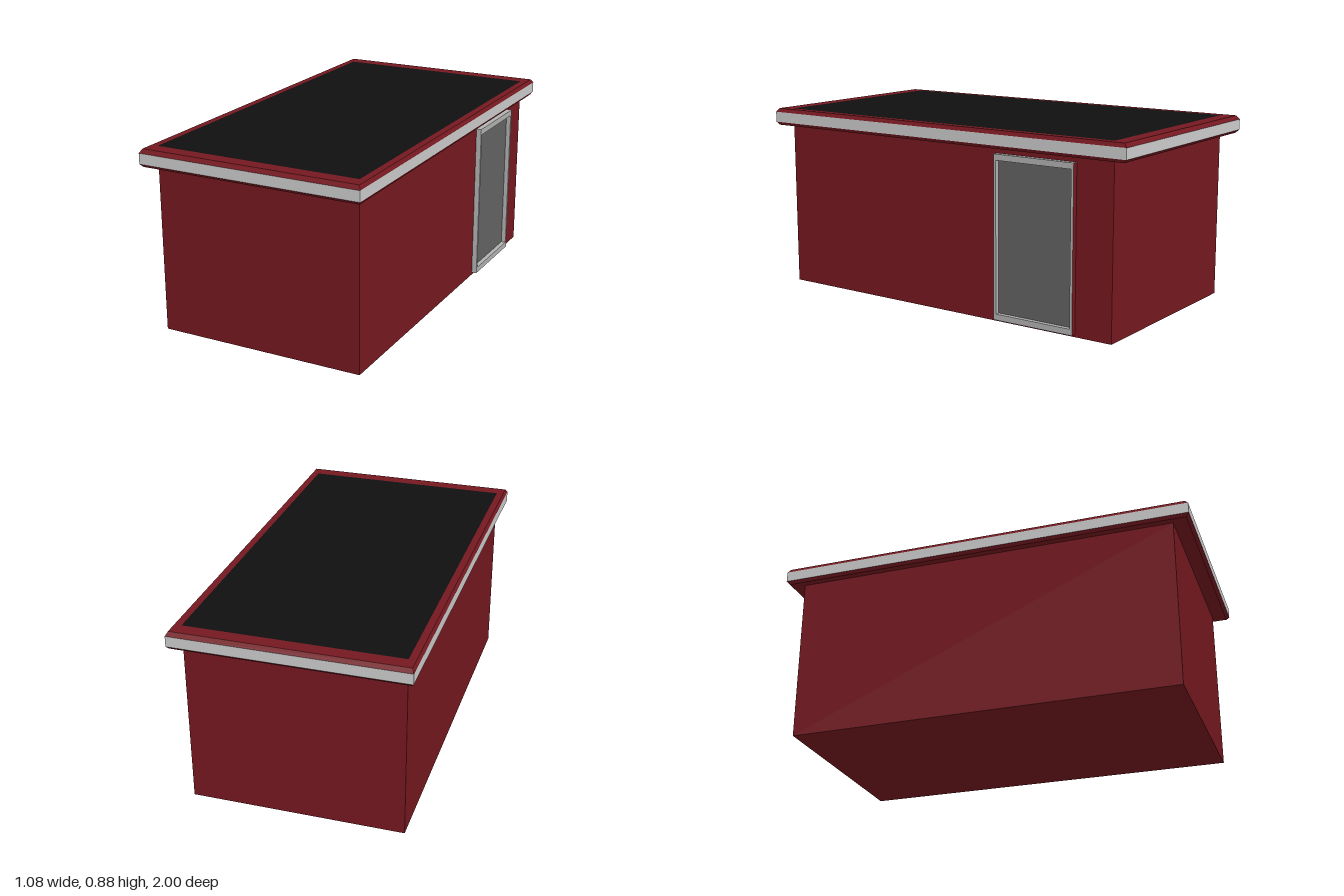
import * as THREE from 'three';

const mat = (color) => new THREE.MeshStandardMaterial({ color, flatShading: true });
const red = mat(0x751820), trim = mat(0xcccccc), frame = mat(0xb2b2b2);
const glass = mat(0x636363), felt = mat(0x101010);

// Rectangular skirt through a list of levels [half width, y, half depth]
function skirt(levels) {
  const signs = [[1, 1], [1, -1], [-1, -1], [-1, 1]];
  const pos = [];
  for (let l = 0; l < levels.length - 1; l++) {
    for (let i = 0; i < 4; i++) {
      const corner = ([w, y, d], k) => [signs[k % 4][0] * w, y, signs[k % 4][1] * d];
      const a = corner(levels[l], i), b = corner(levels[l], i + 1);
      const c = corner(levels[l + 1], i + 1), d = corner(levels[l + 1], i);
      pos.push(...a, ...b, ...c, ...a, ...c, ...d);
    }
  }
  const geo = new THREE.BufferGeometry();
  geo.setAttribute('position', new THREE.Float32BufferAttribute(pos, 3));
  geo.computeVertexNormals();
  return geo;
}

export function createModel() {
  const group = new THREE.Group();
  const add = (name, geo, material, parent = group) => {
    const mesh = new THREE.Mesh(geo, material);
    mesh.name = name;
    parent.add(mesh);
    return mesh;
  };

  // Walls and floor
  const W = 0.497, D = 0.92, eave = 0.795, top = 0.878;
  add('walls', skirt([[W, 0, D], [W, eave, D]]), red);
  add('floor', new THREE.PlaneGeometry(2 * W, 2 * D).rotateX(Math.PI / 2), red);

  // Overhanging roof: soffit, lower bevel, fascia, upper bevel, rim, felt
  add('soffit', skirt([[W, eave, D], [0.53, eave, 0.985], [0.54, 0.81, 1]]), red);
  add('fascia', skirt([[0.54, 0.81, 1], [0.54, 0.86, 1]]), trim);
  add('roofRim', skirt([[0.54, 0.86, 1], [0.53, top, 0.985], [W, top, D]]), red);
  const roof = add('roofFelt', new THREE.PlaneGeometry(2 * W, 2 * D).rotateX(-Math.PI / 2), felt);
  roof.position.y = top;

  // Door on the left wall, close to the back
  const door = new THREE.Group();
  door.name = 'door';
  group.add(door);
  const y0 = 0.012, y1 = 0.77, z0 = -0.737, z1 = -0.32;
  const side = 0.013, rail = 0.028, depth = 0.025;
  const bar = (name, ya, yb, za, zb, backFace = frame) => {
    const faces = [frame, frame, frame, red, frame, backFace]; // underside takes the wall colour
    const mesh = add(name, new THREE.BoxGeometry(depth, yb - ya, zb - za), faces, door);
    mesh.position.set(W + depth / 2, (ya + yb) / 2, (za + zb) / 2);
  };
  bar('frontJamb', y0, y1, z1 - side, z1);
  bar('backJamb', y0, y1, z0, z0 + side, red);
  bar('doorHead', y1 - rail, y1, z0 + side, z1 - side);
  bar('doorSill', y0, y0 + rail, z0 + side, z1 - side);
  const pane = add('doorPane', new THREE.PlaneGeometry(z1 - z0 - 2 * side, y1 - y0 - 2 * rail).rotateY(Math.PI / 2), glass, door);
  pane.position.set(W + 0.003, (y0 + y1) / 2, (z0 + z1) / 2);

  return group;
}
